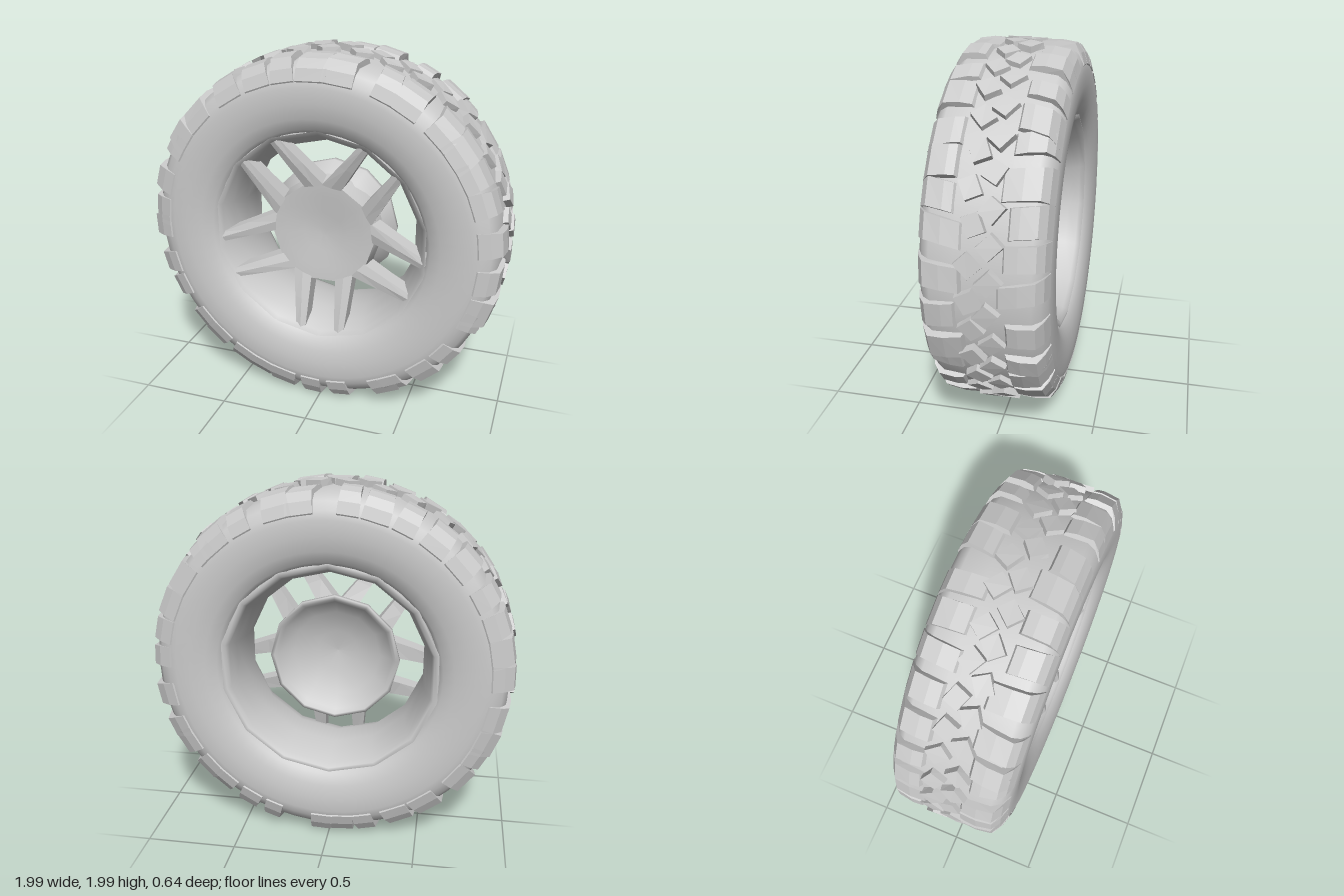
import * as THREE from 'three';
import { mergeGeometries } from 'three/addons/utils/BufferGeometryUtils.js';

const material = new THREE.MeshStandardMaterial({ color: 0xcccccc, side: THREE.DoubleSide });

function part(name, geometry) {
  const mesh = new THREE.Mesh(geometry, material);
  mesh.name = name;
  return mesh;
}

// Revolve [radius, z] points around the axle (z axis)
function revolve(points, sides) {
  const profile = points.map(([r, z]) => new THREE.Vector2(r, z));
  return new THREE.LatheGeometry(profile, sides).rotateX(Math.PI / 2);
}

// Small repeatable noise in -1..1
let seed = 7;
function jitter(amount) {
  seed = (seed * 16807) % 2147483647;
  return (seed / 2147483647 * 2 - 1) * amount;
}

// Wrap a flat piece onto the tyre: x = across, y = radius, z = along the tread
function wrap(geometry, angle, skew = 0) {
  const g = geometry.index ? geometry.toNonIndexed() : geometry;
  const p = g.attributes.position;
  for (let i = 0; i < p.count; i++) {
    const x = p.getX(i), r = p.getY(i);
    const a = angle + p.getZ(i) + skew * x;
    p.setXYZ(i, -r * Math.sin(a), r * Math.cos(a), x);
  }
  g.computeVertexNormals();
  return g;
}

// Shoulder lug: chunky bar running from the crown over the tyre edge
function shoulderLug(angle, width, start, top) {
  const shape = new THREE.Shape([
    [start, 0.93], [0.3, 0.84], [0.314, 0.865], [0.295, 0.925],
    [0.262, top - 0.012], [0.18, top], [start + 0.03, top - 0.004],
  ].map(([x, y]) => new THREE.Vector2(x, y)));
  const g = new THREE.ExtrudeGeometry(shape, { depth: width, bevelEnabled: false });
  g.translate(0, 0, -width / 2);
  // Sloping walls: wider at the root and towards the crown edge
  const p = g.attributes.position;
  for (let i = 0; i < p.count; i++) {
    const slope = 1 + (0.975 - p.getY(i)) * 3;
    p.setZ(i, p.getZ(i) * Math.min(slope, 1.25));
  }
  return wrap(g, angle, jitter(0.25));
}

// Tilted, turned square block for the middle of the tread
function crownBlock(angle, z, size, turn, top) {
  const g = new THREE.BoxGeometry(size, 0.07, size * 1.15);
  const p = g.attributes.position;
  const tilt = jitter(0.1);
  for (let i = 0; i < p.count; i++) {
    if (p.getY(i) > 0) {
      p.setX(i, p.getX(i) * 0.85);
      p.setZ(i, p.getZ(i) * 0.85);
      p.setY(i, p.getY(i) + Math.min(0, tilt * p.getX(i)));
    }
  }
  g.rotateY(turn).translate(z, top - 0.035, 0);
  return wrap(g, angle);
}

function treadGeometry() {
  const pieces = [];
  const lugs = 34, blocks = 36;
  for (const side of [0, Math.PI]) {
    for (let i = 0; i < lugs; i++) {
      const a = (i + (side ? 0.5 : 0)) / lugs * Math.PI * 2 + jitter(0.015);
      const lug = shoulderLug(a, 0.125 + jitter(0.03), 0.085 + jitter(0.025), 0.985 + jitter(0.008));
      pieces.push(lug.rotateY(side));
    }
    for (let i = 0; i < blocks; i++) {
      const a = (i + (side ? 0.5 : 0)) / blocks * Math.PI * 2 + jitter(0.015);
      const z = (side ? -1 : 1) * (0.045 + jitter(0.015));
      pieces.push(crownBlock(a, z, 0.1, (side ? -1 : 1) * 0.6 + jitter(0.25), 0.994 + jitter(0.006)));
    }
  }
  return mergeGeometries(pieces);
}

// Star hub outline around the five slots, as [x, y] at full size
const SLOT_STEP = Math.PI * 2 / 5;
function slotPoint(k, d, p) {
  const a = -Math.PI / 2 + k * SLOT_STEP;
  return [d * Math.cos(a) - p * Math.sin(a), d * Math.sin(a) + p * Math.cos(a)];
}
function starOutline() {
  const points = [];
  for (let k = 0; k < 5; k++) {
    points.push(slotPoint(k, 0.28, -0.07), slotPoint(k, 0.28, 0.07), slotPoint(k, 0.235, 0.171));
  }
  return points;
}

// Skin a list of equal-length loops
function loft(loops, closeEnd) {
  const n = loops[0].length;
  const index = [];
  for (let j = 0; j < loops.length - 1; j++) {
    for (let i = 0; i < n; i++) {
      const a = j * n + i, b = j * n + (i + 1) % n;
      index.push(a, b, a + n, b, b + n, a + n);
    }
  }
  if (closeEnd) {
    const last = (loops.length - 1) * n;
    for (let i = 1; i < n - 1; i++) index.push(last, last + i, last + i + 1);
  }
  const g = new THREE.BufferGeometry();
  g.setAttribute('position', new THREE.Float32BufferAttribute(loops.flat(2), 3));
  g.setIndex(index);
  g.computeVertexNormals();
  return g;
}

function hubFace() {
  const star = starOutline();
  const ring = (s, z) => star.map(([x, y]) => [x * s, y * s, z]);
  const face = loft([ring(1, 0.18), ring(0.75, 0.175), ring(0.4, 0.16), ring(0.08, 0.155)], true);
  const wall = loft([ring(1.06, 0.06), ring(1, 0.18)], false);
  return mergeGeometries([face, wall]);
}

// One tapering spoke beside a slot; side is -1 or 1
function spoke(k, side) {
  const section = (dIn, pIn, dOut, pOut, front, back) => {
    const mid = slotPoint(k, (dIn + dOut) / 2, side * (pIn + pOut) / 2);
    const a = slotPoint(k, dIn, side * pIn), b = slotPoint(k, dOut, side * pOut);
    const loop = [[...a, front], [...mid, front + 0.008], [...b, front], [...b, back], [...a, back]];
    return side > 0 ? loop : loop.reverse();
  };
  return loft([
    section(0.27, 0.07, 0.225, 0.171, 0.18, 0.07),
    section(0.41, 0.077, 0.39, 0.156, 0.215, 0.12),
    section(0.565, 0.085, 0.56, 0.14, 0.25, 0.16),
  ], false).toNonIndexed();
}

export function createModel() {
  const model = new THREE.Group();
  model.name = 'wheel';
  const wheel = new THREE.Group();
  wheel.name = 'wheelAssembly';
  wheel.position.y = 1;
  model.add(wheel);

  // Tyre carcass: bead, bulging sidewall, shoulder and crown
  const half = [[0.59, 0.255], [0.61, 0.28], [0.67, 0.305], [0.75, 0.318], [0.83, 0.317],
    [0.875, 0.305], [0.92, 0.28], [0.95, 0.24], [0.962, 0.12]];
  const back = half.map(([r, z]) => [r, -z]);
  wheel.add(part('tyre', revolve([...back, ...half.slice().reverse()], 56)));
  wheel.add(part('tread', treadGeometry()));

  // Rim barrel, open at both ends
  wheel.add(part('rimBarrel', revolve([
    [0.6, -0.265], [0.575, -0.27], [0.56, -0.24], [0.535, -0.18], [0.51, -0.06],
    [0.505, 0.08], [0.54, 0.18], [0.575, 0.25], [0.6, 0.265],
  ], 14)));

  // Hub: star face, flared skirt and hollow back
  wheel.add(part('hubFace', hubFace()));
  wheel.add(part('hubBowl', revolve([
    [0, 0.09], [0.12, 0.08], [0.25, 0.035], [0.325, -0.02], [0.345, -0.05],
    [0.365, -0.045], [0.365, -0.015], [0.31, 0.06], [0.27, 0.12],
  ], 12)));

  // Five pairs of spokes
  const spokes = new THREE.Group();
  spokes.name = 'spokes';
  for (let k = 0; k < 5; k++) {
    for (const side of [-1, 1]) {
      const g = spoke(k, side);
      g.computeVertexNormals();
      spokes.add(part('spoke', g));
    }
  }
  wheel.add(spokes);
  return model;
}
